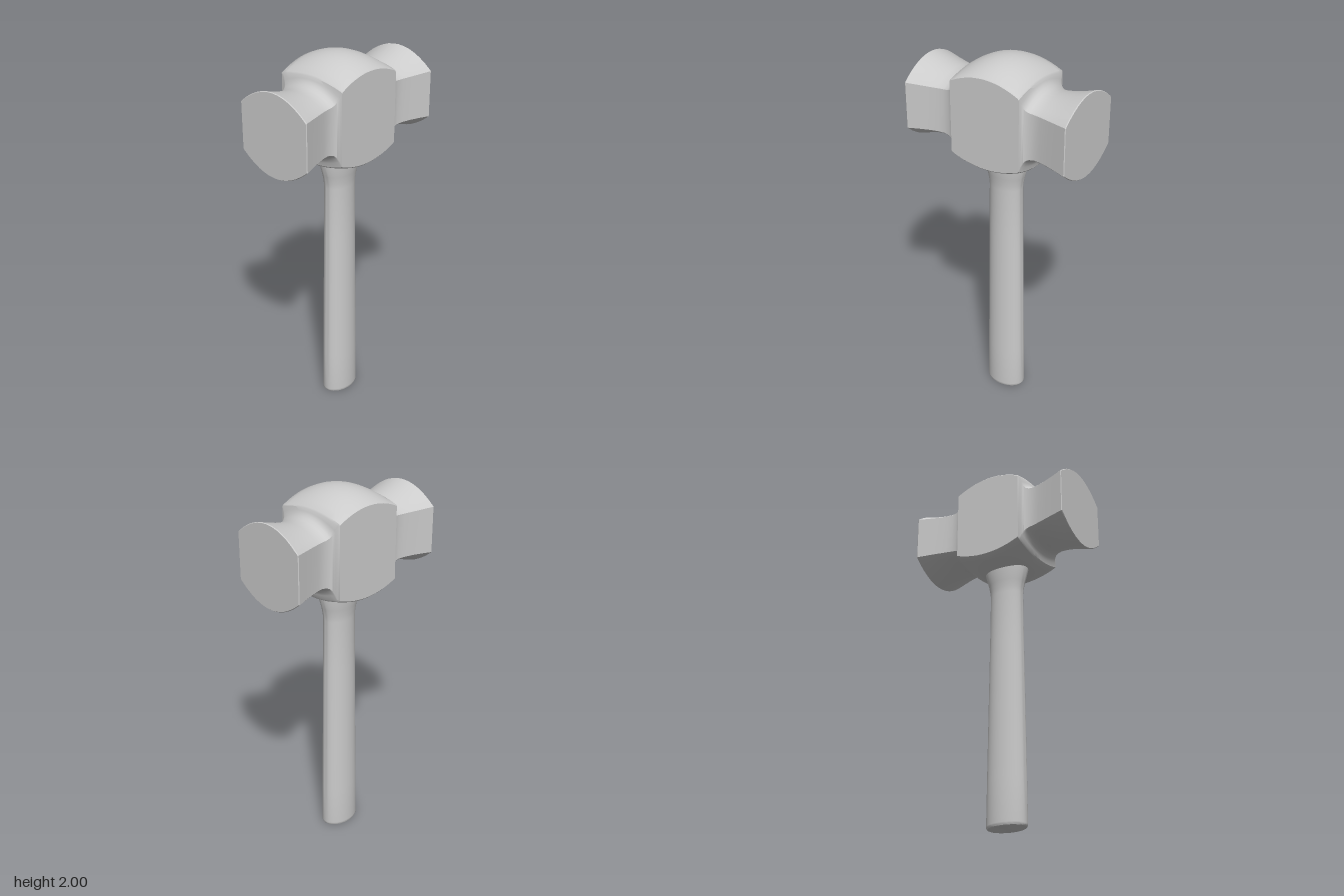
import * as THREE from 'three';
import { toCreasedNormals } from 'three/addons/utils/BufferGeometryUtils.js';

const ARC = 12;      // segments across each domed top or bottom
const BEVEL = 0.006; // softened long edges

// Closed ring in the plane at x: flat sides, parabolic crown above and below.
// w = half depth, top/bottom = crown heights, sideTop/sideBottom = flat side ends.
function ring({ x, w, top, sideTop, bottom, sideBottom, z = 0 }) {
  const points = [];
  const arc = (edge, crown, dir) => {
    for (let i = 0; i <= ARC; i++) {
      const t = dir * (1 - (2 * i) / ARC);
      points.push([x, edge + (crown - edge) * (1 - t * t), z + t * (w - BEVEL)]);
    }
  };
  arc(sideTop, top, 1);
  points.push([x, sideTop - BEVEL, z - w], [x, sideBottom + BEVEL, z - w]);
  arc(sideBottom, bottom, -1);
  points.push([x, sideBottom + BEVEL, z + w], [x, sideTop - BEVEL, z + w]);
  return points;
}

// Skin a row of rings ordered along +x and close both ends
function loft(rings) {
  const n = rings[0].length;
  const positions = rings.flat(2);
  const index = [];
  for (let i = 0; i < rings.length - 1; i++) {
    for (let j = 0; j < n; j++) {
      const k = (j + 1) % n;
      const a = i * n + j, b = i * n + k, c = a + n, d = b + n;
      index.push(a, c, d, a, d, b);
    }
  }
  const last = (rings.length - 1) * n;
  const startCentre = positions.length / 3;
  positions.push(rings[0][0][0], 1.7, 0, rings.at(-1)[0][0], 1.7, 0);
  for (let j = 0; j < n; j++) {
    const k = (j + 1) % n;
    index.push(startCentre, j, k, startCentre + 1, last + k, last + j);
  }
  const geometry = new THREE.BufferGeometry();
  geometry.setAttribute('position', new THREE.Float32BufferAttribute(positions, 3));
  geometry.setIndex(index);
  return toCreasedNormals(geometry, 0.5);
}

function headGeometry() {
  const stations = [];
  // Block: crowned along x as well as z
  for (let i = 0; i <= 6; i++) {
    const t = i / 6, s = t * t;
    stations.push({
      x: 0.195 * t, w: 0.2, z: -0.006,
      top: 2 - 0.07 * s, sideTop: 1.95 - 0.05 * s,
      bottom: 1.42 + 0.045 * s, sideBottom: 1.46 + 0.04 * s,
    });
  }
  // Shoulder, neck and flared striking face
  const rows = [
    // x, w, top, sideTop, bottom, sideBottom
    [0.201, 0.194, 1.923, 1.893, 1.472, 1.507],
    [0.205, 0.181, 1.909, 1.868, 1.492, 1.53],
    [0.212, 0.172, 1.897, 1.846, 1.508, 1.547],
    [0.223, 0.166, 1.886, 1.833, 1.52, 1.56],
    [0.24, 0.162, 1.877, 1.826, 1.528, 1.568],
    [0.265, 0.16, 1.872, 1.823, 1.531, 1.573],
    [0.3, 0.166, 1.876, 1.823, 1.528, 1.575],
    [0.35, 0.179, 1.885, 1.824, 1.516, 1.575],
    [0.41, 0.197, 1.902, 1.827, 1.498, 1.573],
    [0.464, 0.214, 1.92, 1.83, 1.48, 1.57],
    [0.468, 0.211, 1.917, 1.828, 1.483, 1.572],
  ];
  for (const [x, w, top, sideTop, bottom, sideBottom] of rows) {
    stations.push({ x, w, top, sideTop, bottom, sideBottom });
  }
  const mirrored = stations.slice(1).reverse().map((s) => ({ ...s, x: -s.x }));
  return loft([...mirrored, ...stations].map(ring));
}

// Oval shaft, slimmer towards the head, flaring where it enters the eye
function handleGeometry() {
  const profile = [
    [0, 0], [0.1, 0], [0.107, 0.003], [0.111, 0.009], [0.112, 0.018],
    [0.109, 0.25], [0.104, 0.6], [0.098, 1.0], [0.095, 1.29],
    [0.098, 1.32], [0.106, 1.36], [0.13, 1.45], [0.13, 1.5], [0, 1.5],
  ].map(([r, y]) => new THREE.Vector2(r, y));
  const geometry = new THREE.LatheGeometry(profile, 48);
  geometry.scale(1, 1, 0.7);
  return toCreasedNormals(geometry, 0.5);
}

export function createModel() {
  const model = new THREE.Group();
  model.name = 'hammer';
  const material = new THREE.MeshStandardMaterial({ color: 0xcccccc });
  const add = (name, geometry) => {
    const mesh = new THREE.Mesh(geometry, material);
    mesh.name = name;
    model.add(mesh);
  };
  add('hammerHead', headGeometry());
  add('handle', handleGeometry());
  return model;
}
